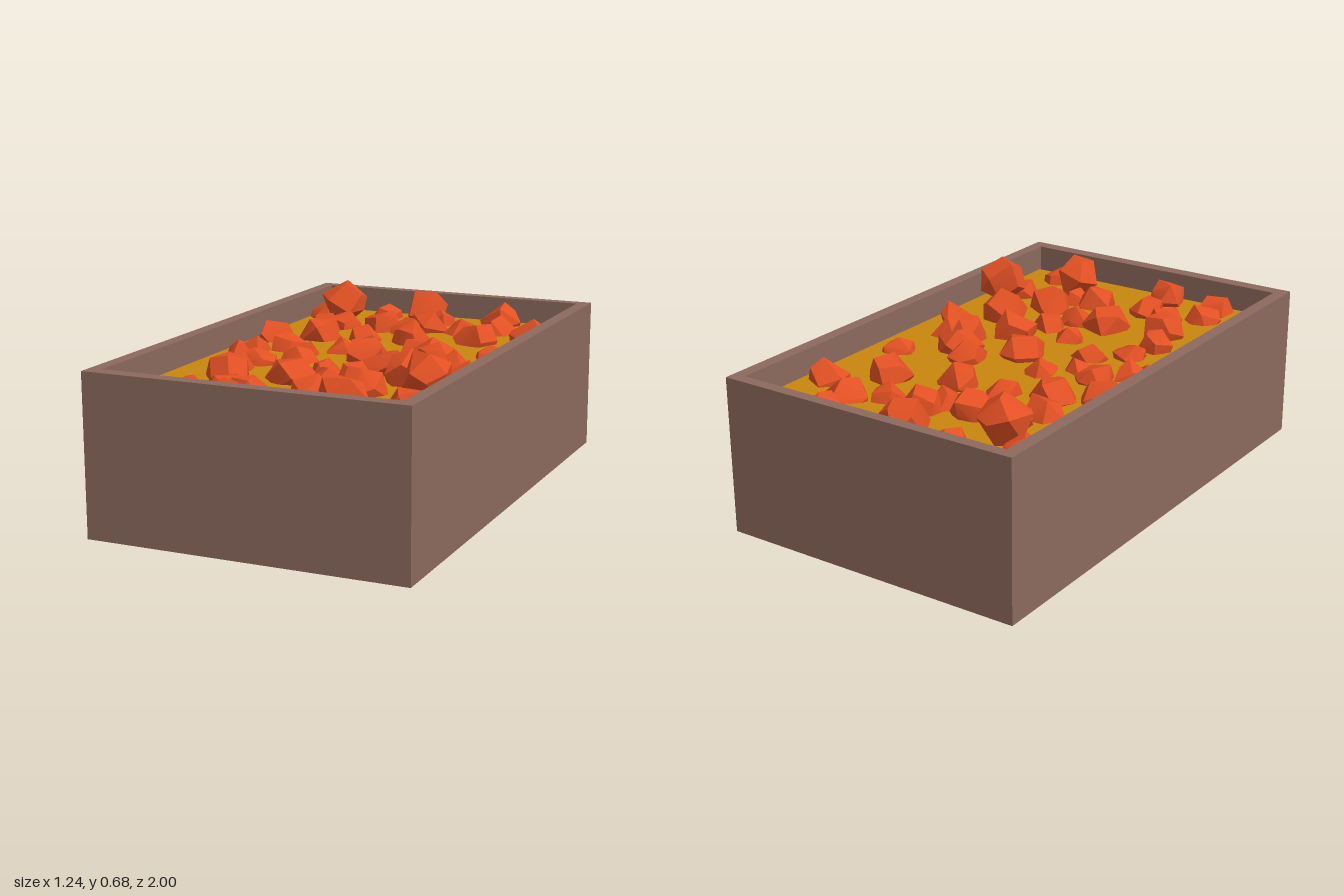
import * as THREE from 'three';
import { toCreasedNormals } from 'three/addons/utils/BufferGeometryUtils.js';
import { ConvexGeometry } from 'three/addons/geometries/ConvexGeometry.js';

const wood = new THREE.MeshStandardMaterial({ name: 'brown wood', color: 0x8c6a5d });
const sand = new THREE.MeshStandardMaterial({ name: 'ochre fill', color: 0xc8870d });
const stone = new THREE.MeshStandardMaterial({ name: 'orange stone', color: 0xe25023 });

const HEIGHT = 0.612, FILL = 0.51;
const HALF_X = 0.62, INNER_X = 0.57, BACK = -0.955, FRONT = 0.945;

// Small seeded generator, from 0 to 1
function seeded(seed) {
  return () => {
    seed = (seed * 16807) % 2147483647;
    return seed / 2147483647;
  };
}

function rectangle(path, x0, y0, x1, y1) {
  path.moveTo(x0, y0).lineTo(x1, y0).lineTo(x1, y1).lineTo(x0, y1).closePath();
  return path;
}

// Irregular convex lump: jittered points spread over a ball
function lumpGeometry(radius, random) {
  const points = [], count = 13, turn = random() * 6.28;
  for (let i = 0; i < count; i++) {
    const y = 1 - (2 * (i + 0.5)) / count;
    const ring = Math.sqrt(1 - y * y);
    const a = turn + i * 2.4 + (random() - 0.5) * 0.7;
    const r = radius * (0.9 + random() * 0.25);
    points.push(new THREE.Vector3(Math.cos(a) * ring * r, y * r, Math.sin(a) * ring * r));
  }
  const geometry = new ConvexGeometry(points);
  geometry.rotateX(random() * 6.28).rotateZ(random() * 6.28);
  return toCreasedNormals(geometry, 0.6);
}

// Stones grouped by size: radius, top height and [x, z] places
const stoneSizes = [
  { radius: 0.1, top: 0.682, places: [[0.48, 0.52], [-0.39, -0.71]] },
  { radius: 0.095, top: 0.642, places: [[-0.07, -0.86], [0.29, 0.81], [0.33, 0.31]] },
  {
    radius: 0.09, top: 0.605, places: [
      [0.26, -0.89], [0.31, -0.71], [0.48, -0.61], [0.02, -0.65], [-0.16, -0.58],
      [-0.37, -0.45], [-0.31, -0.31], [0.05, -0.37], [0.3, -0.47], [-0.47, -0.22],
      [0.26, -0.09], [0.02, 0], [0.31, 0.04], [0.39, 0.03], [0.18, 0.17], [0.48, 0.2],
      [-0.08, 0.44], [-0.31, 0.5], [0.23, 0.51], [0.1, 0.66], [-0.12, 0.87],
    ],
  },
  {
    radius: 0.078, top: 0.58, places: [
      [-0.5, -0.75], [-0.24, -0.84], [0.02, -0.8], [0.18, -0.64], [-0.04, -0.56],
      [-0.33, -0.57], [-0.14, -0.36], [0.45, -0.22], [0.17, -0.16], [-0.13, -0.11],
      [-0.35, -0.06], [-0.24, -0.01], [-0.49, 0.06], [-0.44, 0.04], [-0.21, 0.13],
      [-0.33, 0.22], [-0.03, 0.25], [-0.36, 0.35], [0.11, 0.32], [0.05, 0.44],
      [0.44, 0.6], [-0.24, 0.64], [-0.13, 0.69], [0.19, 0.65], [-0.36, 0.75],
      [-0.35, 0.87], [0.4, 0.84],
    ],
  },
];

export function createModel() {
  const model = new THREE.Group();
  model.name = 'planterBox';

  // Four walls in one piece
  const outline = rectangle(new THREE.Shape(), -HALF_X, -1, HALF_X, 1);
  outline.holes.push(rectangle(new THREE.Path(), -INNER_X, -FRONT, INNER_X, -BACK));
  const wallGeometry = new THREE.ExtrudeGeometry(outline, { depth: HEIGHT, bevelEnabled: false });
  const walls = new THREE.Mesh(wallGeometry.rotateX(-Math.PI / 2), wood);
  walls.name = 'walls';

  // Floor between the walls
  const floor = new THREE.Mesh(new THREE.BoxGeometry(INNER_X * 2, 0.05, FRONT - BACK), wood);
  floor.name = 'floor';
  floor.position.set(0, 0.025, (FRONT + BACK) / 2);

  // Fill, stopping just short of the front wall
  const fillEnd = FRONT - 0.01;
  const fill = new THREE.Mesh(new THREE.BoxGeometry(INNER_X * 2, FILL - 0.05, fillEnd - BACK), sand);
  fill.name = 'fill';
  fill.position.set(0, (FILL + 0.05) / 2, (fillEnd + BACK) / 2);
  model.add(walls, floor, fill);

  // Stones half sunk in the fill
  const stones = new THREE.Group();
  stones.name = 'stones';
  const random = seeded(4217);
  for (const { radius, top, places } of stoneSizes) {
    for (const [x, z] of places) {
      const geometry = lumpGeometry(radius, random);
      geometry.computeBoundingBox();
      const mesh = new THREE.Mesh(geometry, stone);
      mesh.name = 'stone';
      const lift = top - (random() * 0.02) * (top < 0.64 ? 1 : 0);
      mesh.position.set(x, lift - geometry.boundingBox.max.y, z);
      stones.add(mesh);
    }
  }
  model.add(stones);
  return model;
}
